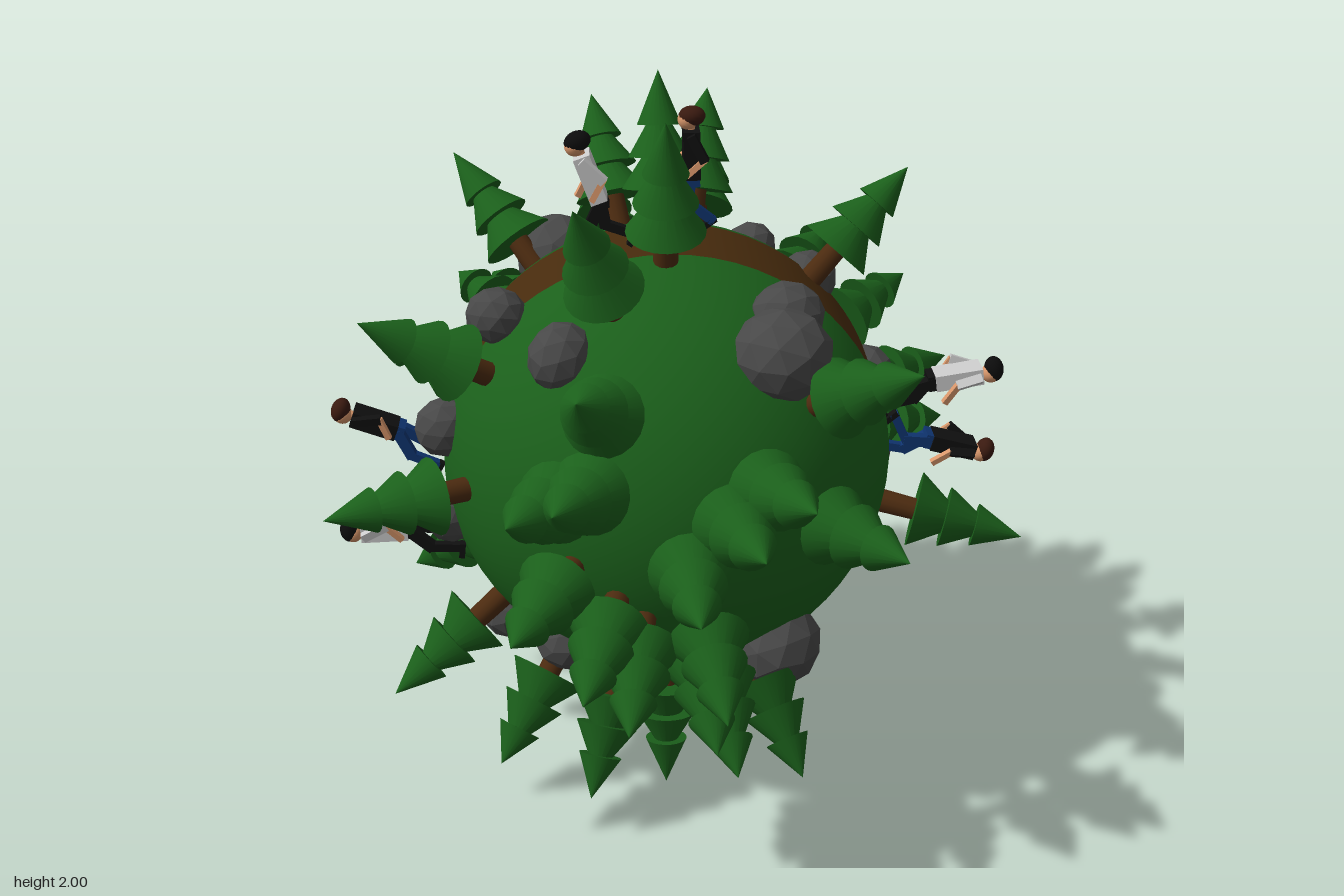
import * as THREE from 'three';

const mat = (color, flatShading = false) => new THREE.MeshStandardMaterial({ color, flatShading });
const V = (x, y, z) => new THREE.Vector3(x, y, z);
const UP = V(0, 1, 0);
const CENTRE = V(-0.01, 1, -0.02);
const R = 0.623, PATH_HALF = 0.123;

const M = {
  grass: mat(0x1b601b), leaf: mat(0x1b601b), earth: mat(0x472b0d), bark: mat(0x4c2b10),
  rock: mat(0x484848, true), skin: mat(0xd9976b), white: mat(0xcccccc), black: mat(0x101010),
  jeans: mat(0x0f3470), brownHair: mat(0x3a1a10), blackHair: mat(0x0c0c0c),
};

function add(parent, name, geometry, material, x = 0, y = 0, z = 0) {
  const mesh = new THREE.Mesh(geometry, material);
  mesh.name = name;
  mesh.position.set(x, y, z);
  parent.add(mesh);
  return mesh;
}

// Box stretched between two points
function limb(parent, name, a, b, w, d, material) {
  const dir = b.clone().sub(a);
  const mesh = add(parent, name, new THREE.BoxGeometry(w, dir.length() + w * 0.4, d), material);
  mesh.position.copy(a).add(b).multiplyScalar(0.5);
  mesh.quaternion.setFromUnitVectors(UP, dir.normalize());
}

// Two grass caps with a slightly sunken track between, its edges tucked under the caps
function makePlanet() {
  const planet = new THREE.Group();
  planet.name = 'planet';
  const edge = Math.acos(PATH_HALF / R);
  for (const side of [1, -1]) {
    const cap = add(planet, 'grassCap', new THREE.SphereGeometry(R, 64, 32, 0, Math.PI * 2, 0, edge), M.grass);
    cap.rotation.x = side * Math.PI / 2;
  }
  const track = add(planet, 'dirtPath', new THREE.CylinderGeometry(0.608, 0.608, 0.265, 96, 1, true), M.earth);
  track.rotation.x = Math.PI / 2;
  return planet;
}

// Fir tree: trunk and three stacked cones, growing outward to its tip
const trunkGeo = new THREE.CylinderGeometry(0.03, 0.034, 0.17, 12);
const tiers = [[0.885, 1, 0.06], [0.8, 0.945, 0.085], [0.715, 0.87, 0.105]]; // base, top, radius
function makeTree(tip) {
  const dir = tip.sub(CENTRE);
  const reach = THREE.MathUtils.clamp(dir.length(), 0.95, 1.035);
  const tree = new THREE.Group();
  tree.name = 'tree';
  add(tree, 'trunk', trunkGeo, M.bark, 0, 0.66, 0);
  for (const [base, top, r] of tiers) {
    const end = top === 1 ? reach : top;
    add(tree, 'foliage', new THREE.ConeGeometry(r, end - base, 20), M.leaf, 0, (base + end) / 2, 0);
  }
  tree.quaternion.setFromUnitVectors(UP, dir.normalize());
  return tree;
}

// Walking figure: stands on y = 0 and faces +z
function makeWalker(top, legs, hair) {
  const p = new THREE.Group();
  p.name = 'walker';
  add(p, 'torso', new THREE.BoxGeometry(0.074, 0.13, 0.045), top, 0, 0.22, 0);
  add(p, 'hips', new THREE.BoxGeometry(0.062, 0.03, 0.042), legs, 0, 0.15, 0);
  add(p, 'neck', new THREE.CylinderGeometry(0.011, 0.011, 0.03, 10), M.skin, 0, 0.29, 0);
  add(p, 'head', new THREE.SphereGeometry(0.027, 16, 12), M.skin, 0, 0.311, 0.008);
  const cap = add(p, 'hair', new THREE.SphereGeometry(0.031, 16, 12), hair, 0, 0.32, -0.003);
  cap.scale.set(1, 0.85, 1.15);
  for (const s of [1, -1]) {
    // Arms swing opposite to the legs
    const shoulder = V(s * 0.043, 0.275, 0), elbow = V(s * 0.046, 0.212, -s * 0.02 - 0.012);
    limb(p, 'sleeve', shoulder, elbow, 0.02, 0.024, top);
    limb(p, 'forearm', elbow, V(s * 0.042, 0.172, elbow.z + 0.045), 0.016, 0.016, M.skin);
    // One leg reaches forward, the other trails with a bent knee
    const hip = V(s * 0.018, 0.15, 0);
    const knee = s > 0 ? V(0.018, 0.093, 0.055) : V(-0.018, 0.08, 0.012);
    const foot = s > 0 ? V(0.018, 0.015, 0.06) : V(-0.018, 0.025, -0.055);
    limb(p, 'thigh', hip, knee, 0.028, 0.03, legs);
    limb(p, 'shin', knee, foot, 0.024, 0.024, legs);
    const shoe = add(p, 'shoe', new THREE.BoxGeometry(0.024, 0.016, 0.045), M.black, foot.x, foot.y - 0.007, foot.z + 0.01);
    shoe.rotation.x = s > 0 ? -0.15 : 0.6;
  }
  return p;
}

// Tip positions of the trees
const poles = [[-0.02, 2, 0.23], [-0.02, 2, -0.265], [-0.02, 0, 0.2], [-0.02, 0, -0.265]];
const frontTrees = [
  [-0.25, 1.86, 0.47], [-0.24, 0.15, 0.47], [0.03, 1.01, 0.97], [-0.42, 1.22, 0.85],
  [0.3, 1.27, 0.9], [0.18, 1.17, 0.95], [0.54, 1.08, 0.81], [0.58, 1.49, 0.63],
  [-0.42, 0.9, 0.86], [-0.25, 0.76, 0.91], [-0.14, 0.66, 0.9], [0.1, 0.7, 0.92],
  [0.14, 0.44, 0.78], [-0.48, 0.3, 0.5], [-0.77, 0.44, 0.36], [-0.9, 1.05, 0.48],
  [-0.79, 1.54, 0.36], [0.96, 0.81, 0.22], [-0.25, 1.5, 0.77], [0.33, 0.3, 0.6],
  [-0.31, 1.27, 0.89], [0.08, 0.57, 0.86],
];
const backTrees = [
  [-0.2, 1.87, -0.5], [0.12, 1.92, -0.37], [0.66, 1.74, -0.2], [-0.6, 1.71, -0.5],
  [-0.84, 1.13, -0.5], [0.62, 0.55, -0.6], [0.87, 1.03, -0.53], [0.74, 1.27, -0.61],
  [0.86, 0.85, -0.48], [0.1, 0.78, -0.98], [0.05, 1.03, -0.99], [-0.42, 1.2, -0.87],
  [-0.15, 1.35, -0.91], [-0.2, 1.56, -0.78], [0.42, 1.2, -0.86], [0.53, 1.4, -0.73],
  [-0.62, 1.25, -0.74], [0.3, 0.69, -0.9], [-0.2, 0.44, -0.78],
  [-0.2, 0.14, -0.47], [-0.77, 0.44, -0.35],
  [0.14, 1.75, -0.64], [0.08, 1.5, -0.85], [-0.52, 1.22, -0.81], [0.44, 0.78, -0.84],
];

// Rocks: x, y offset above or below the middle, z, radius; each is placed on both sides
const rocks = [
  [0.28, 0.43, 0.37, 0.128], [0.3, 0.49, 0.26, 0.095], [0.4, 0.42, -0.17, 0.085],
  [0.58, 0.125, -0.17, 0.085], [0.26, 0.43, -0.4, 0.078], [-0.45, 0.45, 0.13, 0.08],
  [-0.6, 0.13, 0.13, 0.083], [-0.3, 0.43, -0.38, 0.12], [-0.28, 0.42, 0.34, 0.09],
];

// Walkers: angle of the feet around the track, angle of the body, and way they face
const whiteShirts = [[101.5, 110, -1], [18, 9, 1], [-67, -71, 1], [200, 182, -1]];
const darkJackets = [[83, 91, -1], [1, -15, 1], [-80, -104, 1], [182, 159, -1]];

export function createModel() {
  const model = new THREE.Group();
  model.name = 'littlePlanet';
  const world = new THREE.Group();
  world.name = 'world';
  world.position.copy(CENTRE);
  model.add(world);

  world.add(makePlanet());
  for (const t of [...poles, ...frontTrees, ...backTrees]) world.add(makeTree(V(...t)));

  const rockGeo = new THREE.IcosahedronGeometry(1, 1);
  rocks.forEach(([x, y, z, r], i) => {
    for (const s of [1, -1]) {
      const rock = add(world, 'rock', rockGeo, M.rock, x, y * s, z);
      rock.scale.set(r, r * 0.95, r * 1.05);
      rock.rotation.set(i * 1.3, i * 0.7 + s, i * 2.1);
    }
  });

  const place = ([feet, body, turn], z, ...look) => {
    const stance = new THREE.Group();
    stance.name = 'walkerStance';
    const a = THREE.MathUtils.degToRad(feet);
    stance.position.set(0.61 * Math.cos(a), 0.61 * Math.sin(a), z);
    stance.rotation.z = THREE.MathUtils.degToRad(body - 90);
    const walker = makeWalker(...look);
    walker.rotation.y = turn * Math.PI / 2;
    stance.add(walker);
    world.add(stance);
  };
  for (const w of whiteShirts) place(w, 0.065, M.white, M.black, M.blackHair);
  for (const w of darkJackets) place(w, -0.06, M.black, M.jeans, M.brownHair);
  return model;
}
